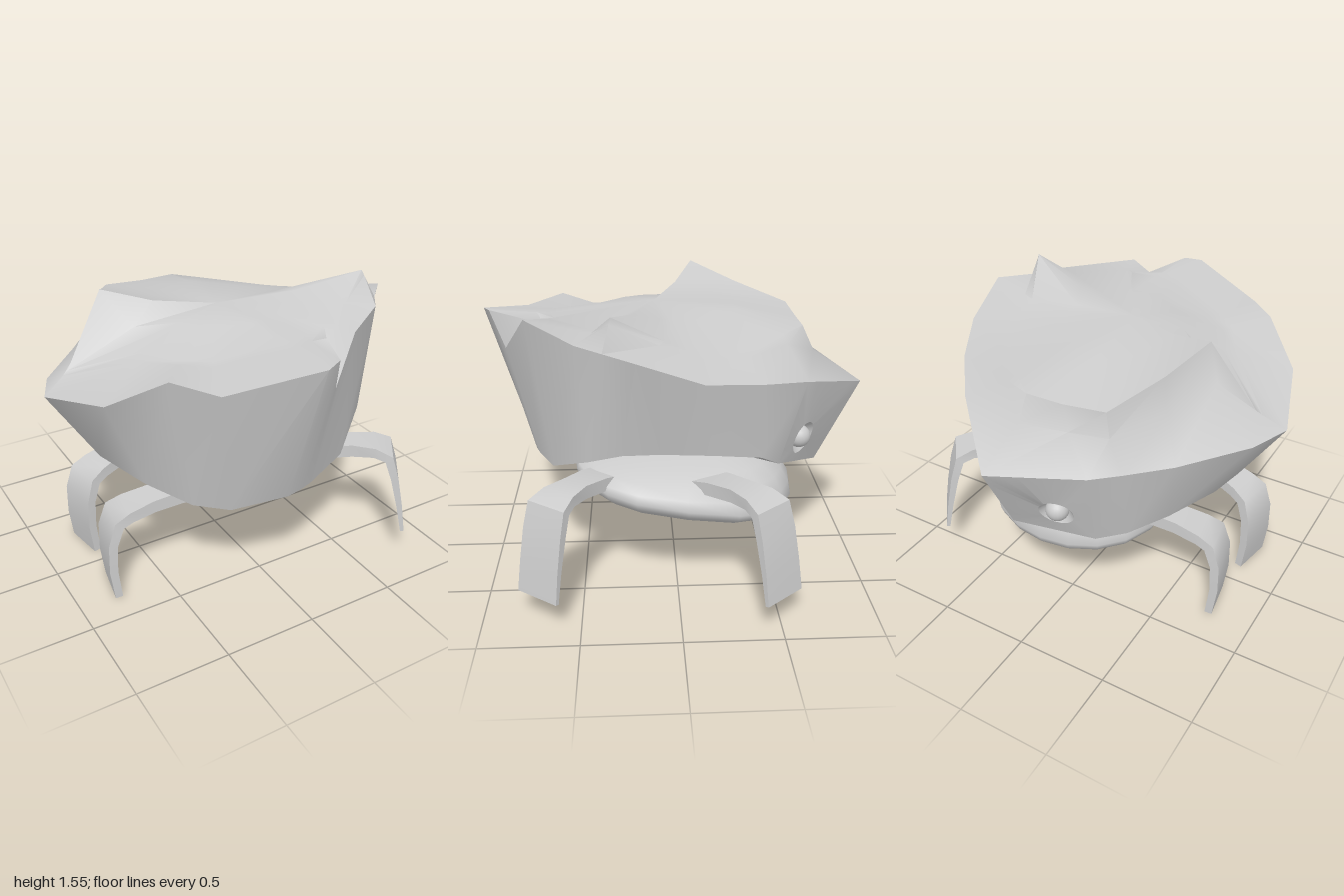
import * as THREE from 'three';
import { toCreasedNormals } from 'three/addons/utils/BufferGeometryUtils.js';

const stone = new THREE.MeshStandardMaterial({ color: 0xcccccc });
stone.name = 'stone grey';

const V = (a) => new THREE.Vector3(...a);

// Collects triangles and quads, then makes a mesh with soft faces and sharp creases
function builder() {
  const pos = [];
  const tri = (a, b, c) => [a, b, c].forEach((p) => pos.push(p.x, p.y, p.z));
  const quad = (a, b, c, d) => { tri(a, b, c); tri(a, c, d); };
  const mesh = (name, crease) => {
    const g = new THREE.BufferGeometry();
    g.setAttribute('position', new THREE.Float32BufferAttribute(pos, 3));
    return named(toCreasedNormals(g, crease), name);
  };
  return { tri, quad, mesh };
}

function named(geometry, name) {
  const m = new THREE.Mesh(geometry, stone);
  m.name = name;
  return m;
}

// Shell loops, from the back point round by +x to the front and back by -x
const rim = [
  [.15, 1.04, -1], [.52, 1.17, -.64], [.72, 1.23, -.39], [.88, 1.29, -.1], [.93, 1.41, .21],
  [.78, 1.41, .36], [.68, 1.42, .49], [.33, 1.45, .76], [.14, 1.25, .88], [.09, 1.44, .96],
  [0, 1.43, 1], [-.44, 1.33, .82], [-.6, 1.36, .63], [-.83, 1.2, .42], [-.97, 1.1, 0],
  [-.88, 1.09, -.21], [-.62, 1.07, -.52], [-.43, 1.06, -.69], [-.3, 1.05, -.79],
].map(V);
const low = [
  [.17, .6, -.77], [.58, .76, -.5], [.66, .83, -.4], [.78, .9, -.15], [.8, .92, .1],
  [.74, .89, .28], [.65, .82, .45], [.4, .69, .64], [.14, .65, .735], [.07, .65, .76],
  [-.02, .64, .77], [-.3, .6, .68], [-.45, .61, .56], [-.62, .69, .38], [-.72, .71, .05],
  [-.69, .73, -.18], [-.55, .68, -.42], [-.4, .62, -.58], [-.26, .58, -.66],
].map(V);
const crown = [
  [.1, 1.34, -.68], [.25, 1.33, -.55], [.5, 1.32, -.3], [.6, 1.36, -.05], [.59, 1.41, .07],
  [.71, 1.56, .32], [.5, 1.44, .4], [.3, 1.45, .62], [.26, 1.44, .61], [.12, 1.43, .65],
  [0, 1.42, .65], [-.3, 1.34, .5], [-.42, 1.33, .4], [-.5, 1.33, .22], [-.82, 1.19, -.05],
  [-.59, 1.55, -.13], [-.48, 1.45, -.38], [-.33, 1.36, -.66], [-.1, 1.34, -.675],
].map(V);
const topCentre = V([-.05, 1.45, .1]);
const underCentre = V([0, .66, 0]);

// Shoulder just outside the crown, sagging where the drop to the rim is steep
const shoulder = crown.map((p, i) => {
  const q = rim[i].clone().lerp(p, .8);
  const rise = p.y - rim[i].y;
  if (rise > .25) q.y -= .25 * rise;
  return q;
});

// Gentle plateau between the crown peaks and the centre
const plateau = crown.map((p) => {
  const q = p.clone().lerp(topCentre, .45);
  q.y = topCentre.y + (p.y - topCentre.y) * .28;
  return q;
});

// Wall panel with a round eye socket cut into it; returns the eyeball
function socketPanel(b, corners, cu, cv, r) {
  const [p, q, s, t] = corners;
  const P = (u, v) => p.clone().lerp(q, u).lerp(t.clone().lerp(s, u), v);
  const L = P(0, cv).distanceTo(P(1, cv)), H = P(cu, 0).distanceTo(P(cu, 1));
  const normal = P(1, cv).sub(P(0, cv)).cross(P(cu, 1).sub(P(cu, 0))).normalize();
  const outer = [], hole = [], n = 6;
  for (let k = 0; k < 4 * n; k++) {
    const f = (k % n) / n;
    const [u, v] = [[f, 0], [1, f], [1 - f, 1], [0, 1 - f]][Math.floor(k / n)];
    const du = (u - cu) * L, dv = (v - cv) * H, len = Math.hypot(du, dv);
    outer.push(P(u, v));
    hole.push(P(cu + du / len * r / L, cv + dv / len * r / H));
  }
  const pit = P(cu, cv).addScaledVector(normal, -.09);
  outer.forEach((o, k) => {
    const m = (k + 1) % outer.length;
    b.quad(o, outer[m], hole[m], hole[k]);
    b.tri(hole[k], hole[m], pit);
  });
  const eye = named(new THREE.SphereGeometry(.06, 20, 14), 'eye');
  eye.position.copy(P(cu, cv)).addScaledVector(normal, -.025);
  return eye;
}

// Rocky shell with rim, crown, underside and two eyes at the narrow end
function shell() {
  const group = new THREE.Group();
  group.name = 'shell';
  const wall = builder(), top = builder(), under = builder();
  const sockets = { 0: [.36, .3], 18: [.6, .36] };
  const terraces = [rim, shoulder, crown, plateau];
  rim.forEach((_, i) => {
    const j = (i + 1) % rim.length;
    const panel = [low[j], low[i], rim[i], rim[j]];
    if (sockets[i]) group.add(socketPanel(wall, panel, ...sockets[i], .09));
    else wall.quad(...panel);
    for (let k = 0; k < 3; k++) {
      const a = terraces[k], b = terraces[k + 1];
      top.quad(a[j], a[i], b[i], b[j]);
    }
    top.tri(plateau[j], plateau[i], topCentre);
    under.tri(low[i], low[j], underCentre);
  });
  group.add(wall.mesh('shellWall', .7), top.mesh('shellTop', .9), under.mesh('shellUnderside', .6));
  return group;
}

// Flattened body with blunt front and back, its keel tipped down towards the back
function body() {
  const g = new THREE.SphereGeometry(1, 20, 12);
  const p = g.attributes.position;
  for (let i = 0; i < p.count; i++) {
    const y = p.getY(i);
    const z = Math.sign(p.getZ(i)) * Math.abs(p.getZ(i)) ** .7 * .6 - .05;
    const tilt = .15 * z * (1 - Math.max(y, 0));
    p.setXYZ(i, p.getX(i) * .53 + .1, .525 + y * (y > 0 ? .19 : .155) + tilt, z);
  }
  g.computeVertexNormals();
  return named(g, 'body');
}

// Bent strap leg: path rows are distance out, height, half width, half thickness
function leg(name, foot, dir, path) {
  const b = builder();
  const d = new THREE.Vector3(dir[0], 0, dir[1]).normalize();
  const side = new THREE.Vector3(-d.z, 0, d.x);
  const end = path[path.length - 1][0];
  const rings = path.map(([dist, y, w, th], i) => {
    const a = path[Math.max(i - 1, 0)], c = path[Math.min(i + 1, path.length - 1)];
    const len = Math.hypot(c[0] - a[0], c[1] - a[1]);
    const n = d.clone().multiplyScalar((a[1] - c[1]) / len);
    n.y = (c[0] - a[0]) / len;
    const centre = new THREE.Vector3(foot[0], y, foot[1]).addScaledVector(d, dist - end);
    return [[1, 1], [-1, 1], [-1, -1], [1, -1]].map(([sn, ss]) =>
      centre.clone().addScaledVector(n, sn * th).addScaledVector(side, ss * w));
  });
  for (let i = 0; i + 1 < rings.length; i++) {
    for (let k = 0; k < 4; k++) {
      const m = (k + 1) % 4;
      b.quad(rings[i][k], rings[i][m], rings[i + 1][m], rings[i + 1][k]);
    }
  }
  b.quad(...rings[rings.length - 1]);
  return b.mesh(name, .8);
}

const highPath = [
  [-.06, .6, .1, .025], [.1, .625, .085, .035], [.25, .64, .075, .035], [.37, .645, .095, .028],
  [.45, .62, .115, .025], [.49, .5, .12, .02], [.53, .33, .122, .015], [.56, .17, .125, .01],
];
const lowPath = [
  [-.04, .55, .09, .03], [.12, .54, .085, .036], [.25, .515, .08, .034], [.38, .485, .095, .03],
  [.45, .455, .108, .028], [.49, .34, .115, .024], [.495, .18, .115, .022], [.475, .01, .115, .02],
];

export function createModel() {
  const model = new THREE.Group();
  model.name = 'rockShellCrab';
  model.add(shell(), body());
  model.add(leg('leftFrontLeg', [.82, .71], [.8, .6], highPath));
  model.add(leg('leftBackLeg', [.88, -.505], [.76, -.64], highPath));
  model.add(leg('rightFrontLeg', [-.765, .235], [-1, -.18], lowPath));
  model.add(leg('rightBackLeg', [-.74, -.2], [-1, .16], lowPath));
  return model;
}
